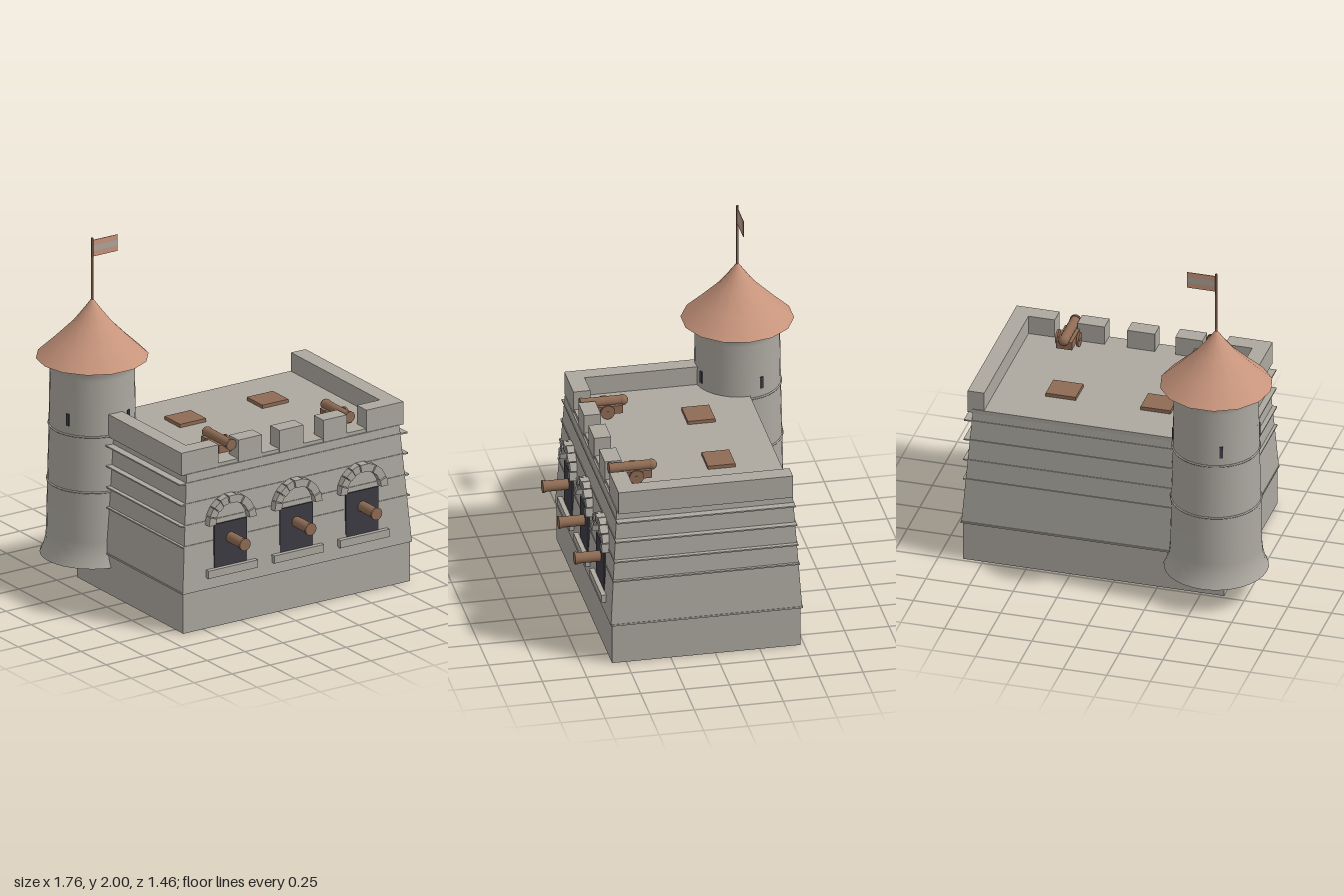
import * as THREE from 'three';

const stone = new THREE.MeshStandardMaterial({ color: 0xaca8a0, side: THREE.DoubleSide });
const terracotta = new THREE.MeshStandardMaterial({ color: 0xc8957c, side: THREE.DoubleSide });
const bronze = new THREE.MeshStandardMaterial({ color: 0x8e6b54 });
const dark = new THREE.MeshStandardMaterial({ color: 0x3c3b44 });
stone.name = 'stone';
terracotta.name = 'terracotta';
bronze.name = 'bronze';
dark.name = 'dark opening';

const CX = 0.1175, CZ = 0.05; // middle of the main building

function add(parent, name, geometry, material, x = 0, y = 0, z = 0) {
  const mesh = new THREE.Mesh(geometry, material);
  mesh.name = name;
  mesh.position.set(x, y, z);
  parent.add(mesh);
  return mesh;
}

// Box given by its limits
function block(parent, name, material, x0, x1, y0, y1, z0, z1) {
  return add(parent, name, new THREE.BoxGeometry(x1 - x0, y1 - y0, z1 - z0), material,
    (x0 + x1) / 2, (y0 + y1) / 2, (z0 + z1) / 2);
}

function group(parent, name, x = 0, y = 0, z = 0) {
  const g = new THREE.Group();
  g.name = name;
  g.position.set(x, y, z);
  parent.add(g);
  return g;
}

// Barrel along z, with a muzzle ring at its front end
function barrel(parent, z0, z1, r) {
  const tube = new THREE.CylinderGeometry(r, r, z1 - z0, 16).rotateX(Math.PI / 2);
  add(parent, 'barrel', tube, bronze, 0, 0, (z0 + z1) / 2);
  const ring = new THREE.CylinderGeometry(r * 1.15, r * 1.15, 0.014, 16).rotateX(Math.PI / 2);
  add(parent, 'muzzleRing', ring, bronze, 0, 0, z1 - 0.007);
  add(parent, 'bore', new THREE.CircleGeometry(r * 0.6, 16), bronze, 0, 0, z1 + 0.001);
}

// Plinth, sloping walls, bands and deck
function buildHall(root) {
  const hall = group(root, 'hall');
  block(hall, 'plinth', stone, -0.63, 0.865, 0, 0.235, -0.48, 0.58);
  block(hall, 'plinthTrim', stone, -0.64, 0.875, 0.232, 0.242, -0.492, 0.587);

  const walls = new THREE.BoxGeometry(1.51, 0.68, 1.075);
  const p = walls.attributes.position;
  for (let i = 0; i < p.count; i++) {
    if (p.getY(i) > 0) p.setXYZ(i, p.getX(i) * 0.93, p.getY(i), p.getZ(i) * 0.92);
  }
  walls.computeVertexNormals();
  add(hall, 'slopingWalls', walls, stone, CX, 0.575, CZ);

  for (const y of [0.503, 0.622, 0.745, 0.863]) {
    const depth = 1.075 * (1 - 0.08 * (y - 0.235) / 0.68) + 0.008;
    add(hall, 'wallBand', new THREE.BoxGeometry(1.5, 0.008, depth), stone, CX, y, CZ);
  }
  block(hall, 'deck', stone, -0.585, 0.82, 0.91, 0.935, -0.445, 0.535);
  for (const x of [-0.155, 0.3875]) {
    block(hall, 'hatch', bronze, x - 0.086, x + 0.086, 0.93, 0.955, -0.195, -0.04);
  }
}

// Side walls and merlons; the back is open
function buildParapet(root) {
  const parapet = group(root, 'parapet');
  block(parapet, 'sideWall', stone, -0.615, -0.525, 0.912, 1.045, -0.44, 0.54);
  block(parapet, 'sideWall', stone, 0.755, 0.85, 0.912, 1.045, -0.44, 0.54);
  for (const [x0, x1] of [[-0.53, -0.37], [-0.24, -0.085], [0.032, 0.19], [0.32, 0.475], [0.605, 0.76]]) {
    block(parapet, 'merlon', stone, x0, x1, 0.912, 1.045, 0.445, 0.54);
  }
}

// Gun port with sill, stone arch and cannon
function buildGunPort(root, x) {
  const port = group(root, 'gunPort', x);
  block(port, 'opening', dark, -0.108, 0.108, 0.34, 0.6, 0.574, 0.582);
  block(port, 'sill', stone, -0.163, 0.163, 0.3, 0.345, 0.55, 0.608);
  const n = 9, step = Math.PI / n;
  for (let i = 0; i < n; i++) {
    const a = i * step + 0.015, b = (i + 1) * step - 0.015;
    const wedge = new THREE.Shape();
    wedge.moveTo(Math.cos(a) * 0.112, Math.sin(a) * 0.112);
    wedge.lineTo(Math.cos(a) * 0.157, Math.sin(a) * 0.157);
    wedge.lineTo(Math.cos(b) * 0.157, Math.sin(b) * 0.157);
    wedge.lineTo(Math.cos(b) * 0.112, Math.sin(b) * 0.112);
    wedge.closePath();
    const out = i % 2 ? 0.055 : 0.061;
    add(port, 'archStone', new THREE.ExtrudeGeometry(wedge, { depth: out, bevelEnabled: false }),
      stone, 0, 0.602, 0.543);
  }
  barrel(group(port, 'portCannon', 0, 0.505, 0), 0.54, 0.727, 0.031);
}

// Cannon on a wheeled carriage
function buildDeckCannon(root, x) {
  const cannon = group(root, 'deckCannon', x, 1.02, 0);
  barrel(cannon, 0.285, 0.525, 0.028);
  add(cannon, 'breech', new THREE.SphereGeometry(0.031, 16, 12), bronze, 0, 0, 0.285);
  block(cannon, 'carriage', bronze, -0.045, 0.045, -0.06, -0.012, 0.29, 0.47);
  const axle = new THREE.CylinderGeometry(0.01, 0.01, 0.135, 10).rotateZ(Math.PI / 2);
  add(cannon, 'axle', axle, bronze, 0, -0.04, 0.38);
  for (const s of [-1, 1]) {
    const wheel = new THREE.CylinderGeometry(0.041, 0.041, 0.012, 16).rotateZ(Math.PI / 2);
    add(cannon, 'wheel', wheel, bronze, s * 0.06, -0.038, 0.38);
  }
}

// Round corner tower with roof and flag
function buildTower(root) {
  const tower = group(root, 'tower', -0.568, 0, -0.422);
  const v = (r, y) => new THREE.Vector2(r, y);
  const shaft = [v(0.29, 0.16), v(0.272, 0.2), v(0.259, 0.25), v(0.254, 0.3), v(0.248, 0.6),
    v(0.24, 0.92), v(0.235, 1.24), v(0.238, 1.27), v(0.25, 1.31)];
  add(tower, 'shaft', new THREE.LatheGeometry(shaft, 32), stone);
  for (const [y, r] of [[0.593, 0.249], [0.917, 0.241]]) {
    add(tower, 'towerBand', new THREE.TorusGeometry(r, 0.006, 6, 32).rotateX(Math.PI / 2), stone, 0, y, 0);
  }
  for (let i = 0; i < 4; i++) {
    const side = group(tower, 'slitSide');
    side.rotation.y = Math.PI / 8 + i * Math.PI / 2;
    add(side, 'arrowSlit', new THREE.BoxGeometry(0.018, 0.07, 0.009), dark, 0, 1.005, 0.24);
  }

  const roof = [v(0.313, 1.308), v(0.21, 1.405), v(0.11, 1.505), v(0.055, 1.575), v(0, 1.65)];
  add(tower, 'roof', new THREE.LatheGeometry(roof, 14).rotateY(Math.PI / 2), terracotta);
  add(tower, 'roofUnderside', new THREE.CircleGeometry(0.313, 14).rotateX(Math.PI / 2), terracotta, 0, 1.308, 0);

  add(tower, 'flagPole', new THREE.CylinderGeometry(0.006, 0.007, 0.4, 8), bronze, 0, 1.8, 0);
  [terracotta, stone, terracotta].forEach((material, i) => {
    const y = 1.89 + i * 0.032;
    block(tower, 'flagStripe', material, 0.003, 0.166, y, y + 0.032, -0.002, 0.002);
  });
}

export function createModel() {
  const root = new THREE.Group();
  root.name = 'fort';
  buildHall(root);
  buildParapet(root);
  for (const x of [-0.318, 0.116, 0.55]) buildGunPort(root, x);
  for (const x of [-0.275, 0.507]) buildDeckCannon(root, x);
  buildTower(root);
  return root;
}
